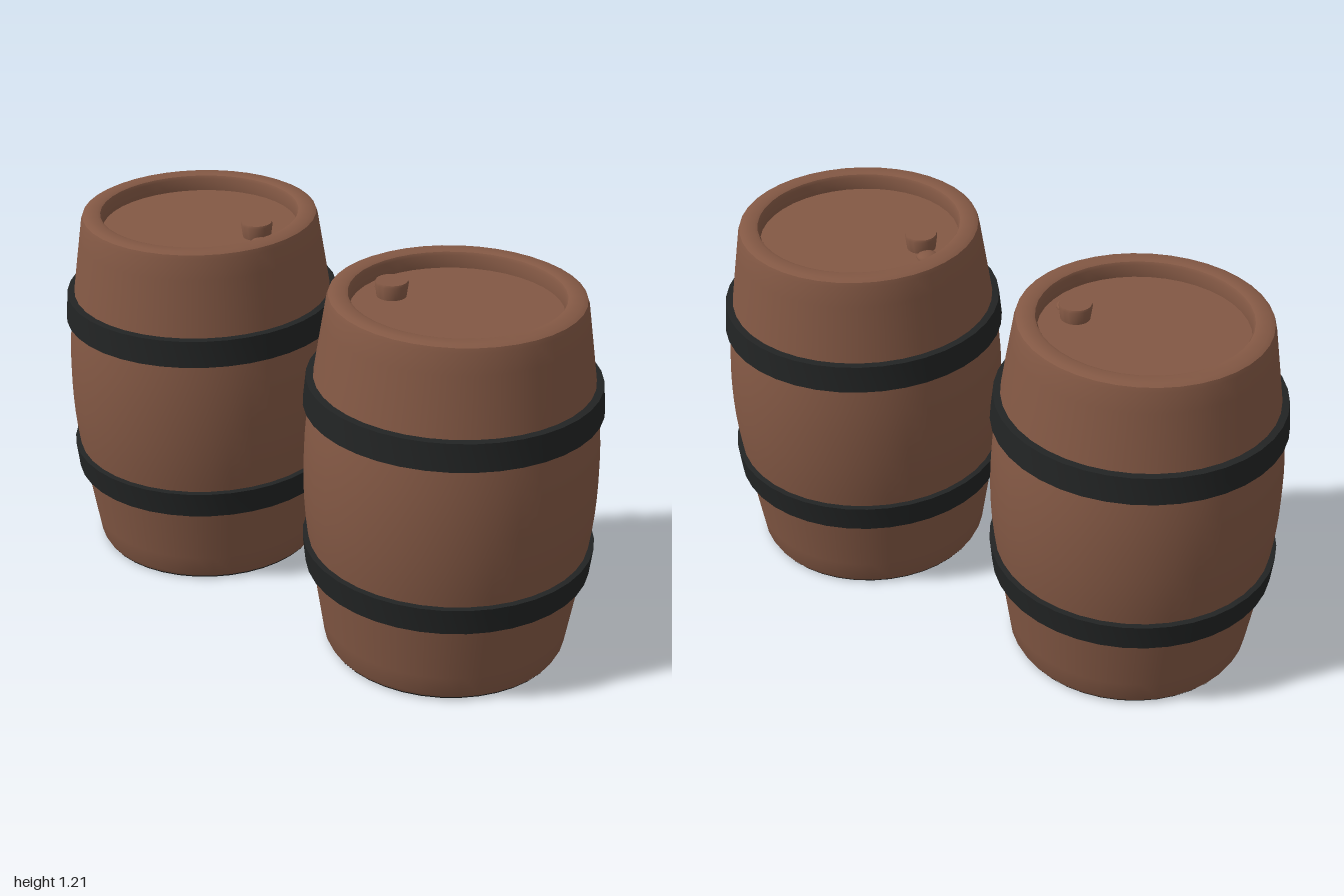
import * as THREE from 'three';
import { toCreasedNormals } from 'three/addons/utils/BufferGeometryUtils.js';

const SEGMENTS = 40;

export function createModel() {
  const wood = new THREE.MeshStandardMaterial({ color: 0x835844 });
  wood.name = 'brown wood';
  const iron = new THREE.MeshStandardMaterial({ color: 0x222424 });
  iron.name = 'black iron';

  // Solid of revolution from [radius, height] pairs
  const turned = (name, profile, material) => {
    const points = profile.map(([r, y]) => new THREE.Vector2(r, y));
    const geometry = toCreasedNormals(new THREE.LatheGeometry(points, SEGMENTS), 0.7);
    const mesh = new THREE.Mesh(geometry, material);
    mesh.name = name;
    return mesh;
  };

  // Bulging outer wall between the bottom and top edges
  const wall = new THREE.SplineCurve([
    [0.394, 0.02], [0.432, 0.27], [0.456, 0.45], [0.463, 0.605],
    [0.456, 0.76], [0.432, 0.94], [0.394, 1.185],
  ].map(([r, y]) => new THREE.Vector2(r, y))).getPoints(18).map((p) => [p.x, p.y]);

  const makeBarrel = () => {
    const barrel = new THREE.Group();

    // Staves with rounded rim
    barrel.add(turned('staves', [
      [0.386, 0.004], ...wall,
      [0.389, 1.199], [0.375, 1.206], [0.34, 1.206], [0.33, 1.202], [0.325, 1.192], [0.325, 1.15],
    ], wood));

    // Sunken lid and base
    barrel.add(turned('lid', [[0.325, 1.15], [0, 1.15]], wood));
    barrel.add(turned('base', [[0, 0.05], [0.325, 0.05], [0.325, 0.004]].slice(0, 2), wood));
    barrel.add(turned('baseInnerWall', [[0.325, 0.05], [0.325, 0.003]], wood));

    // Dark ring under the foot
    barrel.add(turned('footRing', [
      [0.325, 0.006], [0.33, 0], [0.384, 0], [0.39, 0.008],
    ], iron));

    // Two tapered hoops, mirrored about mid height
    const hoop = [[0.44, 0.84], [0.465, 0.842], [0.456, 0.93], [0.425, 0.932]];
    barrel.add(turned('upperHoop', hoop, iron));
    barrel.add(turned('lowerHoop', hoop.map(([r, y]) => [r, 1.215 - y]).reverse(), iron));

    // Bung and the small knot beside it
    const bung = turned('bung', [
      [0.046, 1.148], [0.052, 1.193], [0.049, 1.2], [0, 1.2],
    ], wood);
    bung.position.set(-0.05, 0, -0.213);
    const knot = new THREE.Mesh(new THREE.SphereGeometry(0.036, 16, 10), wood);
    knot.name = 'knot';
    knot.scale.y = 0.45;
    knot.position.set(-0.008, 1.15, -0.268);
    barrel.add(bung, knot);

    return barrel;
  };

  const model = new THREE.Group();
  model.name = 'barrelPair';
  [['frontBarrel', 0.535, 0], ['backBarrel', -0.535, Math.PI]].forEach(([name, z, turn]) => {
    const barrel = makeBarrel();
    barrel.name = name;
    barrel.position.set(0, 0.003, z);
    barrel.rotation.set(0, turn, -0.007); // slight lean
    barrel.position.x = turn ? 0.004 : -0.004;
    model.add(barrel);
  });
  return model;
}
